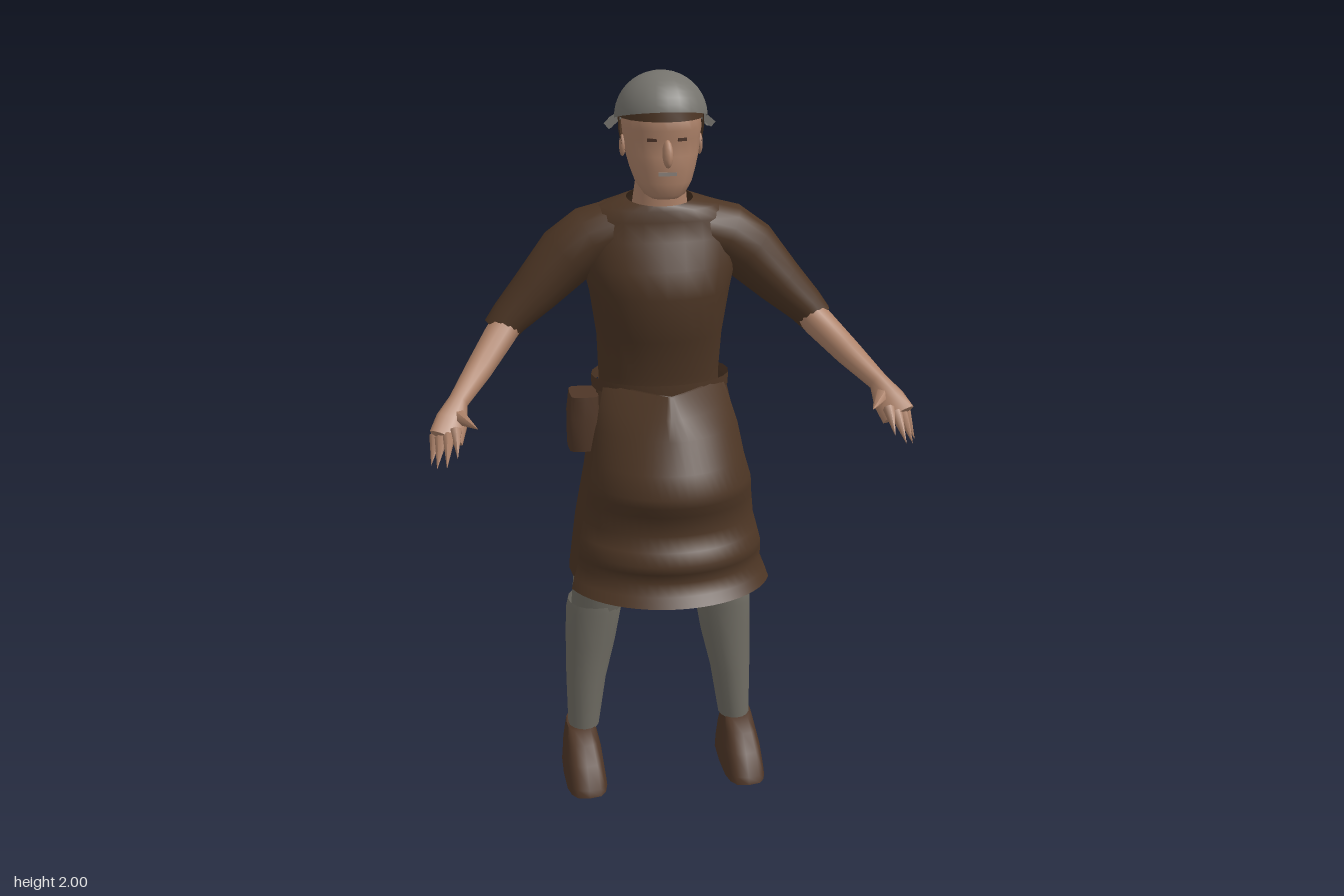
import * as THREE from 'three';
import { toCreasedNormals } from 'three/addons/utils/BufferGeometryUtils.js';

const mat = (name, color, side = THREE.FrontSide) => {
  const m = new THREE.MeshStandardMaterial({ color, side });
  m.name = name;
  return m;
};

// Surface through rings [x, y, z, width radius, depth radius, front power, front dip].
// flat keeps rings level, power below 1 squares them, arc makes an open sheet.
function loft(rings, { n = 16, flat = false, power = 1, arc = null, caps = false } = {}) {
  const pos = [], idx = [];
  const cols = arc ? n + 1 : n;
  const pts = rings.map(r => new THREE.Vector3(r[0], r[1], r[2]));
  const bend = (v, p) => Math.sign(v) * Math.abs(v) ** p;
  rings.forEach(([, , , a, b, frontPower = power, dip = 0], i) => {
    const T = pts[Math.min(i + 1, pts.length - 1)].clone().sub(pts[Math.max(i - 1, 0)]);
    if (flat) T.set(0, Math.sign(T.y), 0);
    T.normalize();
    const U = new THREE.Vector3(0, 0, 1).addScaledVector(T, -T.z).normalize();
    const V = T.clone().cross(U);
    for (let j = 0; j < cols; j++) {
      const t = arc ? arc[0] + (arc[1] - arc[0]) * j / n : j / n * Math.PI * 2;
      const e = Math.sin(t) > 0 ? frontPower : power;
      const p = pts[i].clone()
        .addScaledVector(V, a * bend(Math.cos(t), e))
        .addScaledVector(U, b * bend(Math.sin(t), e));
      pos.push(p.x, p.y - dip * Math.sin(t), p.z);
    }
  });
  for (let i = 0; i < rings.length - 1; i++) {
    for (let j = 0; j < n; j++) {
      const k = (j + 1) % cols;
      const a = i * cols + j, b = a + cols, c = (i + 1) * cols + k, d = i * cols + k;
      idx.push(a, b, c, a, c, d);
    }
  }
  if (caps) {
    const last = (rings.length - 1) * cols;
    for (let j = 1; j < n - 1; j++) {
      idx.push(0, j, j + 1, last, last + j + 1, last + j);
    }
  }
  const g = new THREE.BufferGeometry();
  g.setAttribute('position', new THREE.Float32BufferAttribute(pos, 3));
  g.setIndex(idx);
  return toCreasedNormals(g, 1.25);
}

// Level ring from y, half width, front z and back z.
const level = ([y, rx, zf, zb, ...rest]) => [0, y, (zf + zb) / 2, rx, (zf - zb) / 2, ...rest];

export function createModel() {
  const model = new THREE.Group();
  model.name = 'figure';
  const cloth = mat('brown cloth', 0x4c3524, THREE.DoubleSide);
  const leather = mat('brown leather', 0x4e3627);
  const skin = mat('skin', 0xac8168);
  const steel = mat('grey metal', 0x75736d, THREE.DoubleSide);
  const legging = mat('grey legging', 0x6f6c63, THREE.DoubleSide);
  const dark = mat('dark brown', 0x4a3226);
  const lipGrey = mat('pale grey', 0x8a817a);

  const add = (name, geometry, material, parent = model) => {
    const m = new THREE.Mesh(geometry, material);
    m.name = name;
    parent.add(m);
    return m;
  };

  // Tunic body with a neckline lower in front
  add('tunic', loft([
    [1.15, 0.165, 0.0, -0.2], [1.2, 0.165, 0.0, -0.2], [1.31, 0.17, 0.035, -0.215],
    [1.43, 0.188, 0.06, -0.23], [1.5, 0.205, 0.045, -0.232], [1.57, 0.212, 0.01, -0.23],
    [1.62, 0.205, -0.005, -0.215], [1.655, 0.16, -0.005, -0.195, 1, 0.006],
    [1.676, 0.088, -0.012, -0.15, 1, 0.014],
  ].map(level), { n: 24, flat: true }), cloth);

  // Skirt, open at waist and hem, drawn in to a narrow front at the waist
  add('skirt', loft([
    [0.66, 0.262, 0.25, -0.29], [0.8, 0.242, 0.205, -0.28], [0.95, 0.215, 0.205, -0.268],
    [1.07, 0.197, 0.175, -0.255, 1.1], [1.12, 0.188, 0.15, -0.225, 1.35],
    [1.19, 0.172, 0.12, -0.212, 1.8],
  ].map(level), { n: 32, flat: true }), cloth);

  // Apron hanging in waves over the skirt front
  add('apron', loft([
    [0.66, 0.282, 0.288, -0.2], [0.685, 0.274, 0.268, -0.2], [0.715, 0.262, 0.247, -0.2],
    [0.745, 0.26, 0.26, -0.2], [0.77, 0.258, 0.27, -0.2], [0.8, 0.252, 0.244, -0.2],
    [0.84, 0.242, 0.226, -0.2], [0.9, 0.234, 0.245, -0.2], [0.93, 0.231, 0.26, -0.2],
    [0.955, 0.228, 0.264, -0.2], [1.01, 0.213, 0.234, -0.2], [1.09, 0.2, 0.195, -0.2, 1.1],
    [1.14, 0.188, 0.172, -0.2, 1.4], [1.19, 0.175, 0.128, -0.2, 1.8],
  ].map(level), { n: 24, flat: true, arc: [0.3, Math.PI - 0.3] }), cloth);

  // Belt and pouch
  add('belt', loft([[1.168, 0.187, 0.06, -0.218], [1.2, 0.187, 0.06, -0.218]].map(level),
    { n: 24, flat: true }), cloth);
  add('pouch', loft([
    [-0.215, 1.01, -0.05, 0.042, 0.06], [-0.215, 1.1, -0.05, 0.042, 0.062],
    [-0.212, 1.16, -0.05, 0.038, 0.055],
  ], { n: 12, flat: true, power: 0.4, caps: true }), leather);

  // Neck and head
  add('neck', loft([
    [0, 1.61, -0.085, 0.08, 0.07], [0, 1.67, -0.08, 0.072, 0.064],
    [0, 1.72, -0.072, 0.066, 0.06], [0, 1.79, -0.07, 0.065, 0.06],
  ], { flat: true }), skin);
  add('head', loft([
    [1.69, 0.035, 0.037, -0.02], [1.7, 0.052, 0.046, -0.04], [1.73, 0.073, 0.051, -0.09],
    [1.765, 0.085, 0.057, -0.13], [1.8, 0.094, 0.058, -0.15], [1.84, 0.099, 0.052, -0.162],
    [1.865, 0.102, 0.062, -0.168], [1.92, 0.1, 0.05, -0.165], [1.95, 0.075, 0.02, -0.13],
  ].map(level), { n: 20, flat: true, power: 0.9, caps: true }), skin);
  const nose = add('nose', new THREE.SphereGeometry(1, 10, 8), skin);
  nose.scale.set(0.014, 0.036, 0.019);
  nose.position.set(0, 1.808, 0.057);
  nose.rotation.x = -0.25;
  const mouth = add('mouth', new THREE.BoxGeometry(0.046, 0.009, 0.008), lipGrey);
  mouth.position.set(0, 1.757, 0.053);
  for (const s of [-1, 1]) {
    const eye = add('eye', new THREE.BoxGeometry(0.024, 0.008, 0.008), dark);
    eye.position.set(s * 0.038, 1.842, 0.045);
    eye.rotation.y = s * 0.28;
    const ear = add('ear', new THREE.SphereGeometry(0.022, 8, 6), skin);
    ear.scale.set(0.4, 1.3, 0.8);
    ear.position.set(s * 0.1, 1.815, -0.055);
  }

  // Hair at the back and a band under the helmet
  add('hair', loft([
    [1.785, 0.085, 0.045, -0.15], [1.82, 0.104, 0.055, -0.166],
    [1.86, 0.11, 0.06, -0.175], [1.9, 0.11, 0.06, -0.175],
  ].map(level), { flat: true, arc: [Math.PI - 0.15, 2 * Math.PI + 0.15] }), cloth);
  add('headband', loft([[1.888, 0.108, 0.066, -0.176], [1.925, 0.106, 0.06, -0.174]].map(level),
    { n: 20, flat: true }), cloth);

  // Helmet bowl, tipped back, with a hoop behind
  const bowl = add('helmet', new THREE.SphereGeometry(1, 24, 10, 0, Math.PI * 2, 0, Math.PI / 2), steel);
  bowl.scale.set(0.12, 0.117, 0.134);
  bowl.position.set(0, 1.884, -0.06);
  bowl.rotation.x = -0.22;
  const hoop = add('helmetHoop', new THREE.TorusGeometry(0.128, 0.01, 6, 20, Math.PI), steel);
  hoop.rotation.x = -Math.PI / 2 + 0.06;
  hoop.position.set(0, 1.864, -0.082);
  for (const s of [-1, 1]) {
    const lug = add('hoopEnd', new THREE.BoxGeometry(0.045, 0.018, 0.018), steel);
    lug.position.set(s * 0.121, 1.875, -0.076);
    lug.rotation.z = -s * 0.7;
  }

  // Limbs, built once for each side
  for (const s of [-1, 1]) {
    const side = rings => rings.map(([x, ...rest]) => [s * x, ...rest]);

    add('sleeve', loft(side([
      [0.1, 1.59, -0.11, 0.08, 0.09], [0.18, 1.565, -0.11, 0.086, 0.092],
      [0.245, 1.52, -0.11, 0.083, 0.085], [0.33, 1.432, -0.1, 0.066, 0.072],
      [0.4, 1.365, -0.088, 0.052, 0.058], [0.43, 1.33, -0.083, 0.046, 0.055],
    ])), cloth);

    const arm = new THREE.Group();
    arm.name = s > 0 ? 'leftForearm' : 'rightForearm';
    model.add(arm);
    add('forearm', loft(side([
      [0.39, 1.37, -0.09, 0.04, 0.045], [0.43, 1.325, -0.055, 0.042, 0.042],
      [0.49, 1.265, 0.04, 0.036, 0.034], [0.55, 1.208, 0.13, 0.026, 0.024],
      [0.568, 1.172, 0.172, 0.042, 0.022], [0.585, 1.14, 0.21, 0.045, 0.015],
    ]), { n: 12, caps: true }), skin, arm);

    // Fingers and thumb: base, tip, radius
    [
      [[0.61, 1.14, 0.185], [0.626, 1.077, 0.232], 0.017],
      [[0.597, 1.14, 0.205], [0.612, 1.077, 0.262], 0.017],
      [[0.578, 1.147, 0.21], [0.588, 1.085, 0.285], 0.017],
      [[0.56, 1.158, 0.205], [0.56, 1.105, 0.275], 0.016],
      [[0.56, 1.182, 0.15], [0.505, 1.17, 0.245], 0.025],
    ].forEach(([base, tip, r], i) => {
      const a = new THREE.Vector3(s * base[0], base[1], base[2]);
      const d = new THREE.Vector3(s * tip[0], tip[1], tip[2]).sub(a);
      const f = add(i < 4 ? 'finger' : 'thumb', new THREE.ConeGeometry(r, d.length(), 6), skin, arm);
      f.position.copy(a).addScaledVector(d, 0.5);
      f.quaternion.setFromUnitVectors(new THREE.Vector3(0, 1, 0), d.normalize());
    });

    add('upperLeg', loft(side([
      [0.09, 1.05, -0.08, 0.08, 0.1], [0.12, 0.85, -0.09, 0.085, 0.1],
      [0.152, 0.66, -0.097, 0.088, 0.095], [0.18, 0.5, -0.11, 0.072, 0.075],
    ]), { flat: true }), legging);
    add('greave', loft(side([
      [0.185, 0.525, -0.11, 0.076, 0.082], [0.187, 0.5, -0.11, 0.08, 0.08],
      [0.197, 0.4, -0.115, 0.072, 0.078], [0.212, 0.28, -0.112, 0.058, 0.068],
      [0.223, 0.13, -0.103, 0.045, 0.054],
    ]), { flat: true }), legging);
    add('ankle', loft(side([
      [0.225, 0.18, -0.103, 0.036, 0.042], [0.228, 0.08, -0.103, 0.036, 0.042],
    ]), { n: 10, flat: true }), skin);
    add('shoe', loft(side([
      [0.23, 0.0, -0.04, 0.06, 0.15], [0.23, 0.02, -0.043, 0.058, 0.147],
      [0.231, 0.07, -0.063, 0.053, 0.118], [0.232, 0.105, -0.085, 0.046, 0.085],
      [0.232, 0.132, -0.102, 0.041, 0.06],
    ]), { n: 16, flat: true, power: 0.6, caps: true }), leather);
  }
  return model;
}
